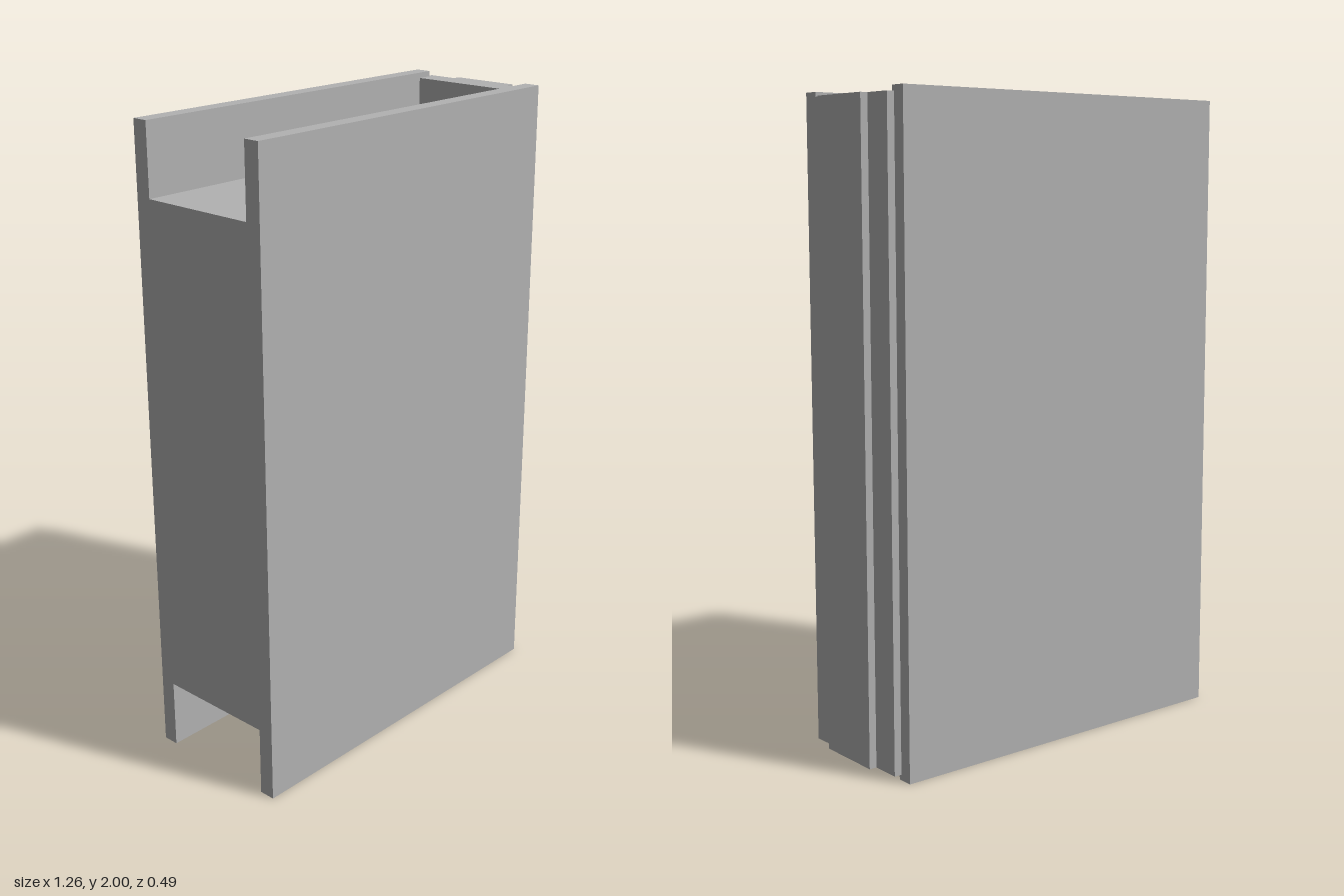
import * as THREE from 'three';

export function createModel() {
  const group = new THREE.Group();
  const grey = new THREE.MeshStandardMaterial({ color: 0xb2b2b2 });
  grey.name = 'plain grey';

  // Box given by its extents along each axis
  const box = (name, [x0, x1], [y0, y1], [z0, z1]) => {
    const mesh = new THREE.Mesh(new THREE.BoxGeometry(x1 - x0, y1 - y0, z1 - z0), grey);
    mesh.position.set((x0 + x1) / 2, (y0 + y1) / 2, (z0 + z1) / 2);
    mesh.name = name;
    group.add(mesh);
  };

  const inner = 0.195, outer = 0.246;
  const left = -0.632, right = 0.584;
  const trimHeight = [0.017, 1.983];

  // Outer facing sheets
  box('frontPanel', [left, right], [0, 2], [inner, outer]);
  box('backPanel', [left, right], [0, 2], [-outer, -inner]);

  // Filling, set back from the top and bottom edges
  box('core', [left, 0.535], [0.22, 1.78], [-inner, inner]);

  // Closing post and the stepped strips on its outside
  box('endPost', [0.535, right], trimHeight, [-inner, inner]);
  box('wideEdgeStrip', [right, 0.608], trimHeight, [-0.204, 0.204]);
  box('narrowEdgeStrip', [0.608, 0.632], trimHeight, [-0.11, 0.11]);

  return group;
}
